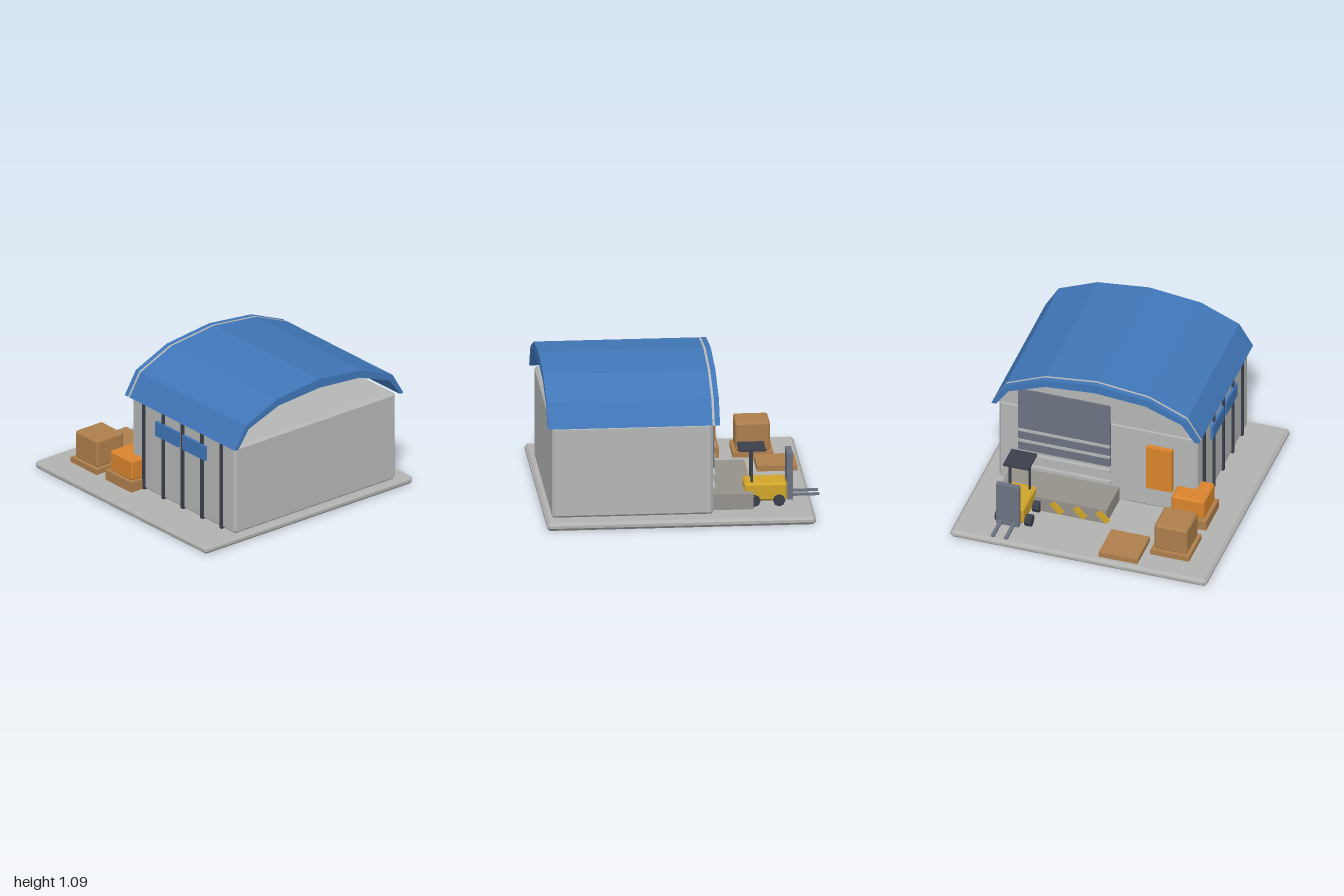
import * as THREE from 'three';
import { ConvexGeometry } from 'three/addons/geometries/ConvexGeometry.js';

const paint = (name, color) => {
  const m = new THREE.MeshStandardMaterial({ color });
  m.name = name;
  return m;
};

export function createModel() {
  const concrete = paint('concrete', 0xb1b2b0);
  const wallGrey = paint('wall grey', 0xb4b7b6);
  const roofBlue = paint('roof blue', 0x4076b8);
  const dockGrey = paint('dock grey', 0x95908a);
  const steel = paint('steel', 0x6b7280);
  const dark = paint('dark metal', 0x3a3f4b);
  const orange = paint('orange', 0xd9842c);
  const wood = paint('wood', 0xad7e4b);
  const yellow = paint('yellow', 0xd0a52a);

  const model = new THREE.Group();
  model.name = 'warehouse';

  const add = (name, geometry, material, parent = model) => {
    const mesh = new THREE.Mesh(geometry, material);
    mesh.name = name;
    parent.add(mesh);
    return mesh;
  };

  // Box given by its [min, max] range on each axis
  const box = (name, mat, [x0, x1], [y0, y1], [z0, z1], parent) => {
    const mesh = add(name, new THREE.BoxGeometry(x1 - x0, y1 - y0, z1 - z0), mat, parent);
    mesh.position.set((x0 + x1) / 2, (y0 + y1) / 2, (z0 + z1) / 2);
    return mesh;
  };

  // Box with chamfered edges: three points at each corner
  const bevelBox = (name, mat, xs, ys, zs, b, parent) => {
    const points = [];
    for (const i of [0, 1]) for (const j of [0, 1]) for (const k of [0, 1]) {
      const corner = new THREE.Vector3(xs[i], ys[j], zs[k]);
      const inward = new THREE.Vector3(1 - 2 * i, 1 - 2 * j, 1 - 2 * k).multiplyScalar(b);
      for (const axis of ['x', 'y', 'z']) {
        const p = corner.clone().add(inward);
        p[axis] = corner[axis];
        points.push(p);
      }
    }
    return add(name, new ConvexGeometry(points), mat, parent);
  };

  const extrude = (name, mat, profile, z0, z1) => {
    const shape = new THREE.Shape(profile.map(([x, y]) => new THREE.Vector2(x, y)));
    const geometry = new THREE.ExtrudeGeometry(shape, { depth: z1 - z0, bevelEnabled: false });
    geometry.translate(0, 0, z0);
    return add(name, geometry, mat);
  };

  // Ground slab and main hall
  bevelBox('groundSlab', concrete, [-0.975, 0.975], [0, 0.06], [-0.95, 1], 0.02);
  bevelBox('hallWalls', wallGrey, [-0.665, 0.845], [0.055, 0.747], [-0.215, 0.955], 0.02);

  // Arched roof, open at the front, with a gable plate near the back
  const outer = [[-0.695, 0.745], [-0.59, 0.915], [-0.3, 1.04], [0.095, 1.085],
    [0.49, 1.04], [0.785, 0.915], [0.885, 0.745]];
  const inner = [[-0.66, 0.745], [-0.565, 0.88], [-0.285, 0.985], [0.095, 1.015],
    [0.475, 0.985], [0.755, 0.88], [0.85, 0.745]];
  extrude('roof', roofBlue, [...outer, ...inner.reverse()], -0.26, 0.99);
  const gableOutline = outer.map(([x, y]) => [0.095 + (x - 0.095) * 1.002, y + (y > 0.75 ? 0.001 : 0)]);
  extrude('gable', wallGrey, gableOutline, -0.222, -0.205);

  // Roller shutter with horizontal slats
  box('shutter', steel, [-0.01, 0.69], [0.36, 0.9], [-0.236, -0.21]);
  for (const y of [0.215, 0.315, 0.445, 0.54])
    box('shutterSlat', wallGrey, [-0.01, 0.69], [y - 0.011, y + 0.011], [-0.243, -0.21]);

  // Staff door
  box('door', orange, [-0.485, -0.29], [0.25, 0.615], [-0.255, -0.21]);

  // Side wall columns and blue panels
  for (let i = 0; i < 5; i++) {
    const z = -0.07 + i * 0.22;
    box('wallColumn', dark, [-0.68, -0.655], [0.06, 0.75], [z - 0.012, z + 0.012]);
  }
  for (const z of [0.21, 0.515])
    box('sidePanel', roofBlue, [-0.69, -0.67], [0.54, 0.655], [z - 0.13, z + 0.13]);

  // Loading dock with slanted bumpers
  box('loadingDock', dockGrey, [-0.075, 0.75], [0.055, 0.177], [-0.515, -0.2]);
  for (let i = 0; i < 5; i++) {
    const bumper = add('dockBumper', new THREE.BoxGeometry(0.105, 0.048, 0.016), yellow);
    bumper.position.set(-0.05 + i * 0.175, 0.117, -0.518);
    bumper.rotation.z = Math.PI / 4;
  }

  // Pallets and crates
  box('pallet', wood, [-0.44, -0.145], [0.058, 0.1], [-0.91, -0.615]);
  box('pallet', wood, [-0.785, -0.49], [0.058, 0.1], [-0.765, -0.47]);
  box('pallet', wood, [-0.785, -0.49], [0.058, 0.137], [-0.37, -0.075]);
  bevelBox('woodCrate', wood, [-0.763, -0.512], [0.1, 0.312], [-0.743, -0.492], 0.012);
  bevelBox('orangeCrate', orange, [-0.763, -0.512], [0.137, 0.295], [-0.348, -0.097], 0.012);

  // Forklift, forks pointing to -z
  const forklift = new THREE.Group();
  forklift.name = 'forklift';
  model.add(forklift);
  bevelBox('forkliftBody', yellow, [0.475, 0.69], [0.1, 0.235], [-0.765, -0.455], 0.016, forklift);
  box('canopy', dark, [0.485, 0.68], [0.473, 0.49], [-0.61, -0.415], forklift);
  for (const x of [0.51, 0.66])
    box('canopyPost', dark, [x - 0.008, x + 0.008], [0.23, 0.475], [-0.518, -0.502], forklift);
  box('mast', steel, [0.495, 0.67], [0.1, 0.45], [-0.808, -0.765], forklift);
  for (const x of [0.532, 0.632])
    box('fork', steel, [x - 0.013, x + 0.013], [0.12, 0.135], [-1, -0.8], forklift);
  for (const x of [0.45, 0.675]) for (const z of [-0.525, -0.705]) {
    const wheel = add('wheel', new THREE.CylinderGeometry(0.045, 0.045, 0.05, 8).toNonIndexed(), dark, forklift);
    wheel.geometry.computeVertexNormals();
    wheel.rotation.z = Math.PI / 2;
    wheel.position.set(x, 0.105, z);
  }

  return model;
}
